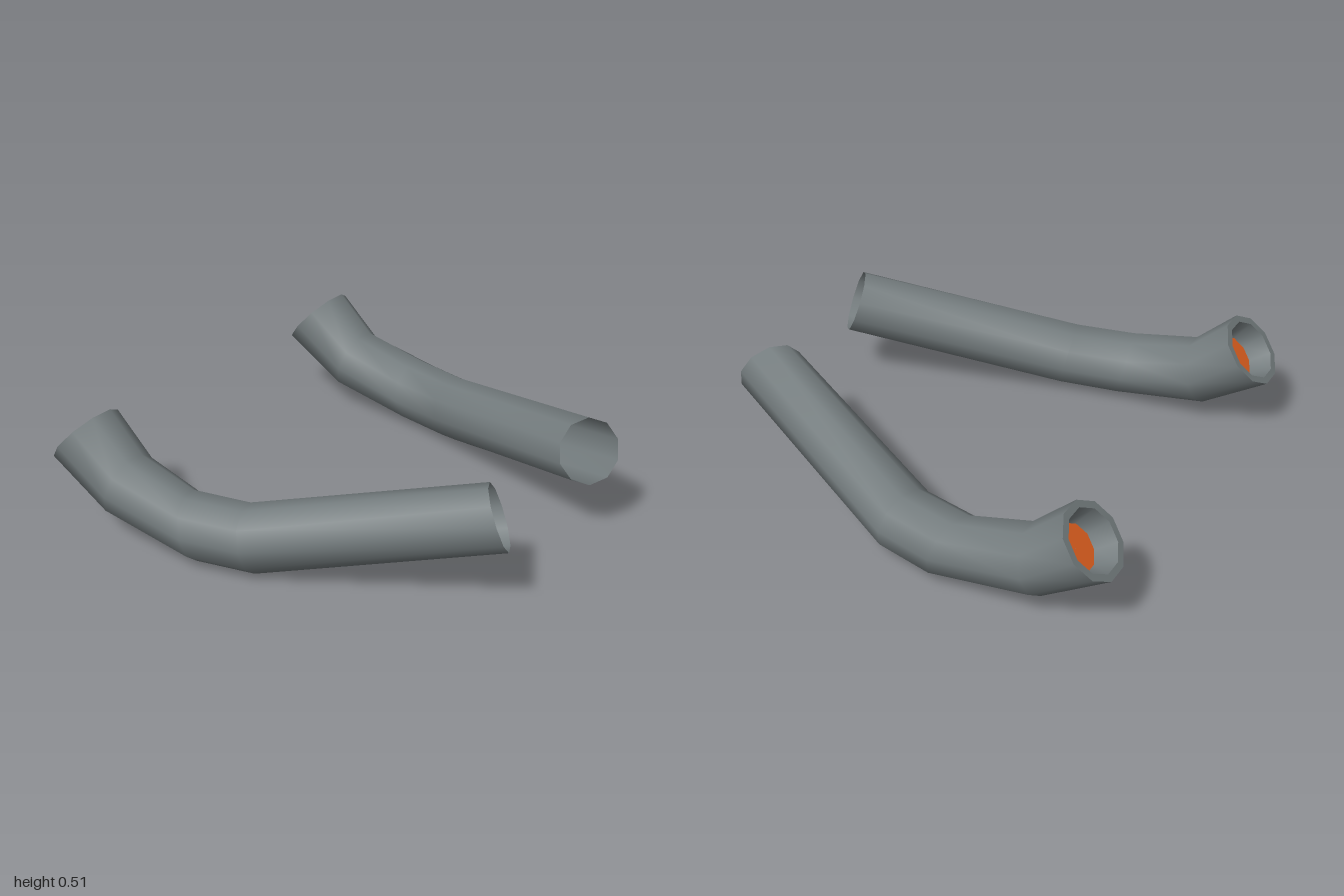
import * as THREE from 'three';

const SIDES = 10;

// Skin a list of rings; each ring is { c: centre, n: plane normal, r: radius }
function loft(rings, material, name, mirror) {
  const pos = [], index = [];
  for (const { c, n, r } of rings) {
    const centre = new THREE.Vector3(c[0] * mirror, c[1], c[2]);
    const normal = new THREE.Vector3(n[0] * mirror, n[1], n[2]).normalize();
    const u = new THREE.Vector3(1, 0, 0).projectOnPlane(normal).normalize();
    const v = new THREE.Vector3().crossVectors(normal, u);
    for (let i = 0; i < SIDES; i++) {
      const a = (i / SIDES) * Math.PI * 2;
      const p = centre.clone().addScaledVector(u, r * Math.cos(a)).addScaledVector(v, r * Math.sin(a));
      pos.push(p.x, p.y, p.z);
    }
  }
  for (let j = 0; j < rings.length - 1; j++) {
    for (let i = 0; i < SIDES; i++) {
      const k = (i + 1) % SIDES;
      const a = j * SIDES + i, b = j * SIDES + k;
      const c = a + SIDES, d = b + SIDES;
      index.push(a, c, b, b, c, d);
    }
  }
  const geometry = new THREE.BufferGeometry();
  geometry.setAttribute('position', new THREE.Float32BufferAttribute(pos, 3));
  geometry.setIndex(index);
  geometry.computeVertexNormals();
  const mesh = new THREE.Mesh(geometry, material);
  mesh.name = name;
  return mesh;
}

export function createModel() {
  const model = new THREE.Group();
  model.name = 'exhaustPipes';

  const steel = new THREE.MeshStandardMaterial({ color: 0x737b7d, side: THREE.DoubleSide });
  steel.name = 'grey steel';
  const glow = new THREE.MeshStandardMaterial({ color: 0xe06020, side: THREE.DoubleSide });
  glow.name = 'orange glow';

  // Bent pipe from the open front end to the flared tail
  const pipe = [
    { c: [0.35, 0.384, 0.915], n: [-0.5, 0.34, 0.8], r: 0.144 },
    { c: [0.753, 0.154, -0.015], n: [-0.27, 0.21, 0.94], r: 0.147 },
    { c: [0.81, 0.15, -0.28], n: [-0.27, 0.21, 0.94], r: 0.149 },
    { c: [0.808, 0.222, -0.655], n: [0, -0.3, 0.95], r: 0.15 },
    { c: [0.808, 0.396, -0.893], n: [0, -0.65, 0.76], r: 0.168 },
  ];

  // A ring in the tail's plane, set a given depth inside the mouth
  const tail = pipe[pipe.length - 1];
  const inside = (r, depth) => ({
    c: tail.c.map((x, i) => x + tail.n[i] * depth), n: tail.n, r,
  });

  for (const [name, mirror] of [['leftPipe', 1], ['rightPipe', -1]]) {
    const group = new THREE.Group();
    group.name = name;
    group.add(
      loft(pipe, steel, 'pipeShell', mirror),
      loft([tail, inside(0.137, 0)], steel, 'tailRim', mirror),
      loft([inside(0.137, 0), inside(0.106, 0.1)], steel, 'tailInnerWall', mirror),
      loft([inside(0.106, 0.1), inside(0.001, 0.1)], glow, 'glowDisc', mirror),
    );
    model.add(group);
  }
  return model;
}
